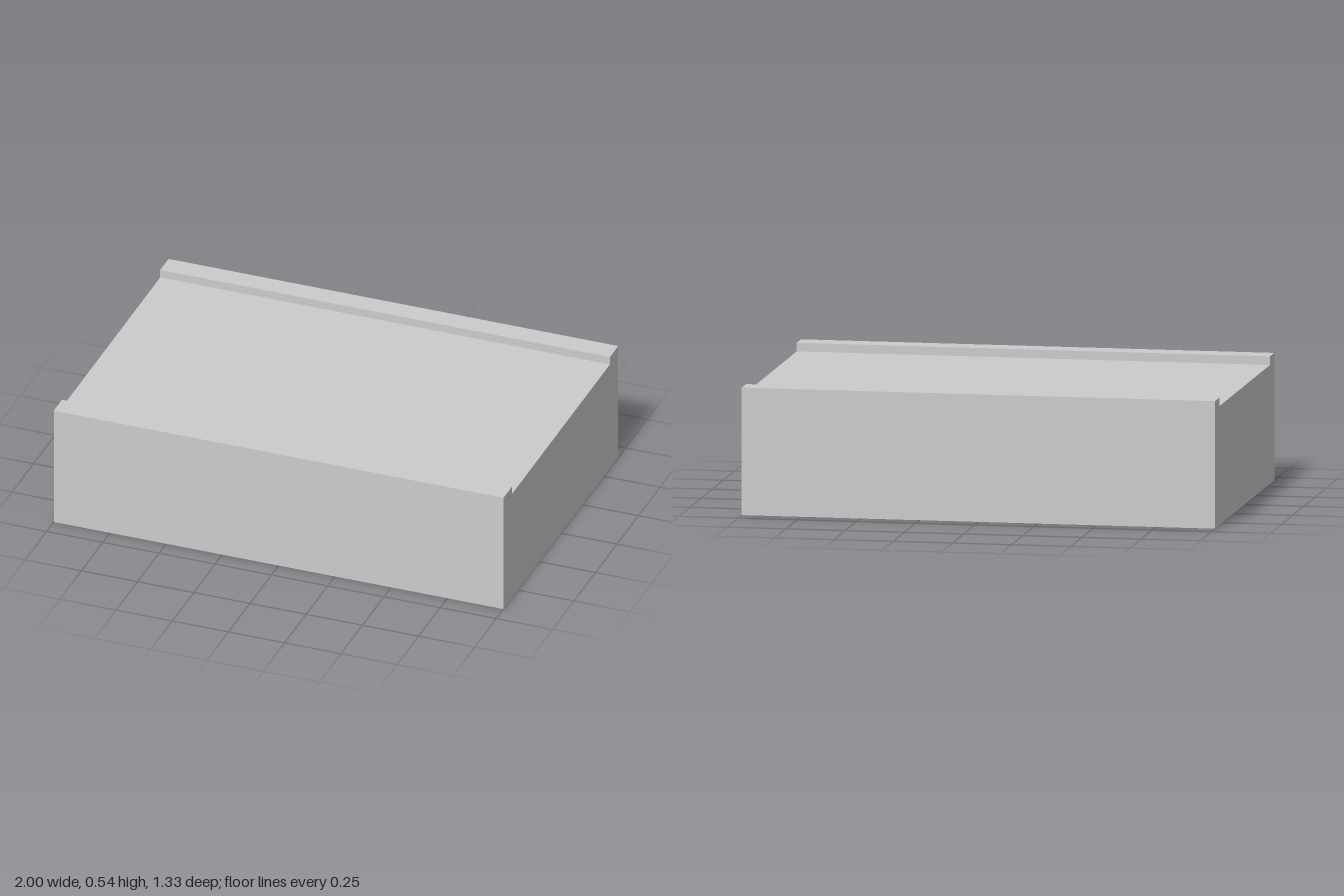
import * as THREE from 'three';

const LENGTH = 2;
const HALF_DEPTH = 0.667;
const RIM_INNER = 0.57; // inner face of each raised rim
const DECK = 0.5;       // height of the flat top
const RIM_TOP = 0.536;

export function createModel() {
  const group = new THREE.Group();
  group.name = 'rimmedBlock';

  // End profile: a block with a raised rim along both long edges
  const half = [[HALF_DEPTH, 0], [HALF_DEPTH, RIM_TOP], [RIM_INNER, RIM_TOP], [RIM_INNER, DECK]];
  const mirrored = half.map(([z, y]) => [-z, y]).reverse();
  const profile = new THREE.Shape([...half, ...mirrored].map(([z, y]) => new THREE.Vector2(z, y)));

  // Run the profile along x, centred
  const geometry = new THREE.ExtrudeGeometry(profile, { depth: LENGTH, bevelEnabled: false });
  geometry.translate(0, 0, -LENGTH / 2);
  geometry.rotateY(Math.PI / 2);

  const block = new THREE.Mesh(
    geometry,
    new THREE.MeshStandardMaterial({ color: 0xcccccc, flatShading: true })
  );
  block.name = 'blockWithRims';
  group.add(block);
  return group;
}
